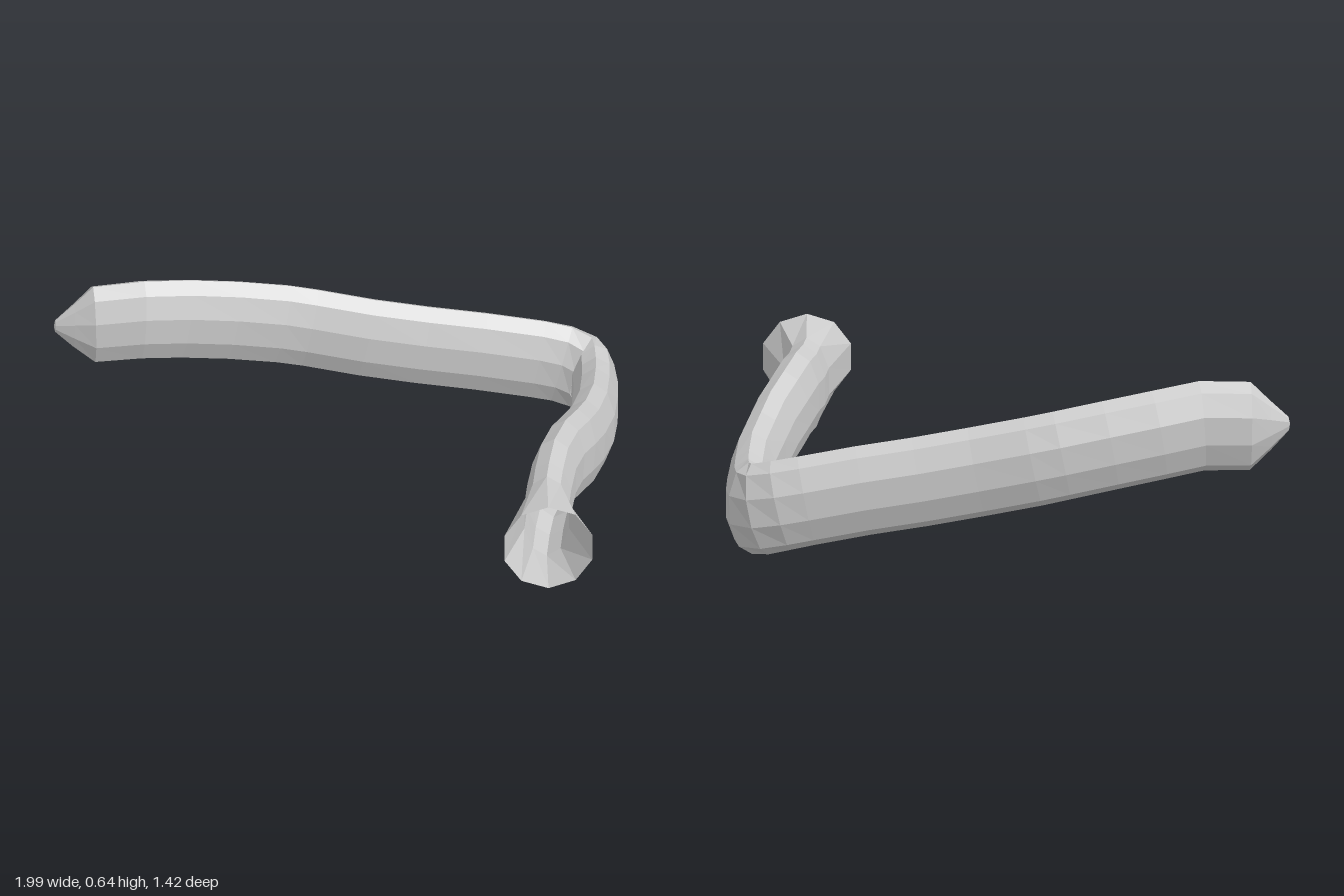
import * as THREE from 'three';

const SIDES = 10;
const H = 0.165, W = 0.083; // usual half height and half width of the oval section

// Stations along the centre line: x, y, z, half height, half width
const stations = [
  // pointed tip
  [-1.0, 0.48, -0.445, 0, 0],
  [-0.995, 0.48, -0.446, 0.025, 0.012],
  [-0.93, 0.478, -0.455, 0.092, 0.045],
  // long arm
  [-0.86, 0.475, -0.466, 0.162, 0.08],
  [-0.69, 0.48, -0.49],
  [-0.54, 0.456, -0.531],
  [-0.37, 0.426, -0.567],
  [-0.2, 0.393, -0.594],
  [-0.1, 0.372, -0.602],
  [0.1, 0.331, -0.603],
  [0.3, 0.294, -0.612],
  [0.5, 0.262, -0.622],
  [0.7, 0.224, -0.632],
  [0.79, 0.205, -0.632],
  // tight elbow
  [0.865, 0.185, -0.612],
  [0.9, 0.177, -0.575],
  [0.913, 0.17, -0.49],
  // short arm
  [0.913, 0.182, -0.39],
  [0.905, 0.213, -0.25],
  [0.875, 0.248, -0.1],
  [0.843, 0.292, 0.02],
  [0.807, 0.328, 0.13],
  [0.78, 0.35, 0.25],
  [0.765, 0.341, 0.36],
  [0.758, 0.341, 0.465],
  // flared open mouth
  [0.768, 0.367, 0.69, 0.164, 0.163],
];

// Skins oval rings, each square to the path, with flat facets
function sweep(list) {
  const centres = list.map(([x, y, z]) => new THREE.Vector3(x, y, z));
  const points = [], index = [];
  const worldUp = new THREE.Vector3(0, 1, 0);
  list.forEach(([, , , h = H, w = W], i) => {
    const next = centres[Math.min(i + 1, list.length - 1)];
    const prev = centres[Math.max(i - 1, 0)];
    const along = next.clone().sub(prev).normalize();
    const side = along.clone().cross(worldUp).normalize();
    const up = side.clone().cross(along);
    for (let j = 0; j < SIDES; j++) {
      const a = Math.PI / 2 + (j / SIDES) * Math.PI * 2;
      const p = centres[i].clone()
        .addScaledVector(side, Math.cos(a) * w)
        .addScaledVector(up, Math.sin(a) * h);
      points.push(p.x, p.y, p.z);
      if (i === list.length - 1) continue;
      const k = (j + 1) % SIDES, r = i * SIDES, s = r + SIDES;
      index.push(r + j, s + j, r + k, r + k, s + j, s + k);
    }
  });
  const geo = new THREE.BufferGeometry();
  geo.setAttribute('position', new THREE.Float32BufferAttribute(points, 3));
  geo.setIndex(index);
  const flat = geo.toNonIndexed();
  flat.computeVertexNormals();
  return flat;
}

export function createModel() {
  const group = new THREE.Group();
  group.name = 'bentPipe';
  const material = new THREE.MeshStandardMaterial({
    color: 0xcccccc, flatShading: true, side: THREE.DoubleSide,
  });
  const pipe = new THREE.Mesh(sweep(stations), material);
  pipe.name = 'pipe';
  group.add(pipe);
  return group;
}
